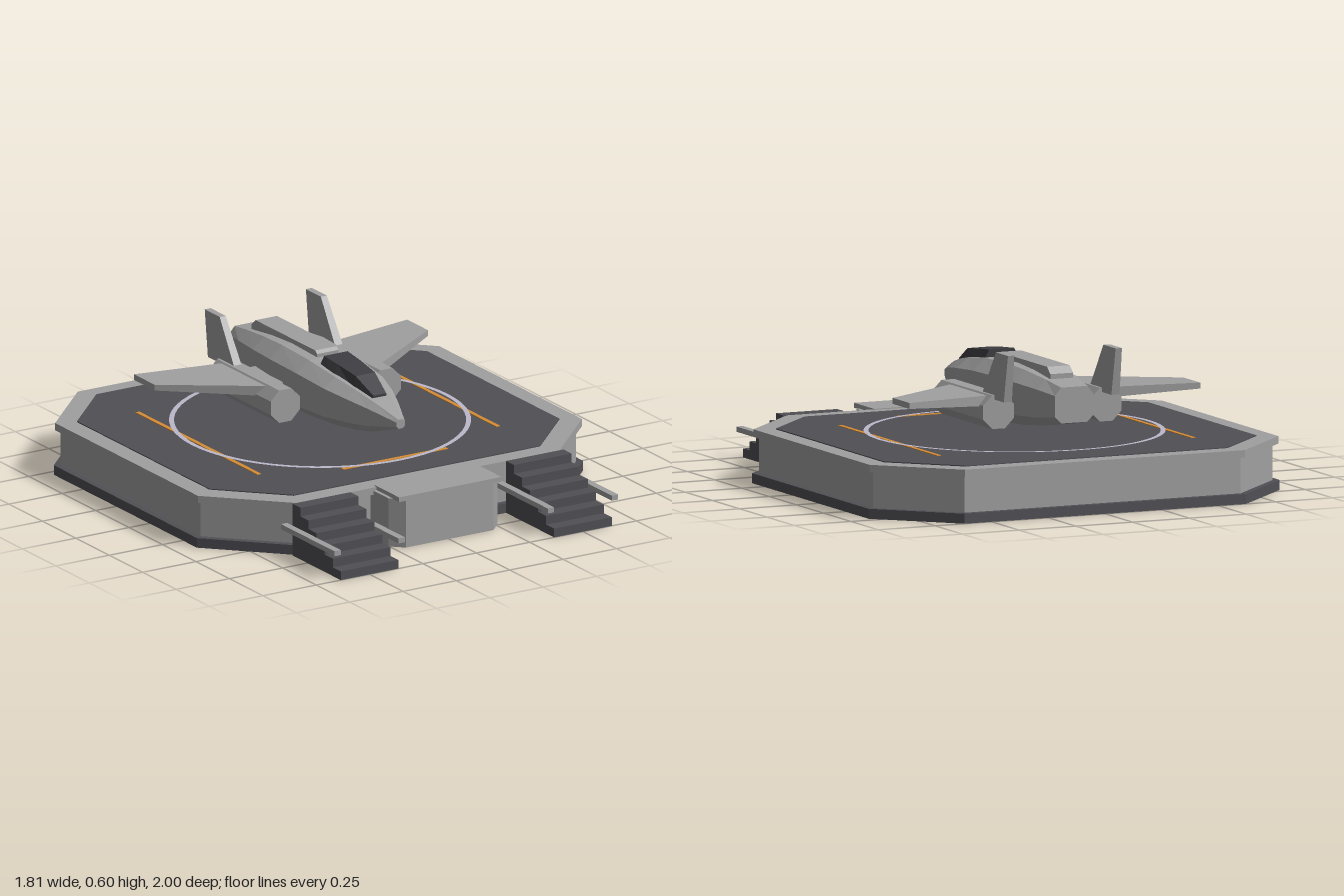
import * as THREE from 'three';

const mat = (name, color) => Object.assign(new THREE.MeshStandardMaterial({ color }), { name });

// Eight-sided outline with cut corners, in x and z
const octagon = (hw, z0, z1, c) => [
  [-hw + c, z1], [hw - c, z1], [hw, z1 - c], [hw, z0 + c],
  [hw - c, z0], [-hw + c, z0], [-hw, z0 + c], [-hw, z1 - c],
];

// Raise an x/z outline from y0 to y1
function slab(points, y0, y1) {
  const shape = new THREE.Shape(points.map(([x, z]) => new THREE.Vector2(x, -z)));
  const g = new THREE.ExtrudeGeometry(shape, { depth: y1 - y0, bevelEnabled: false });
  return g.rotateX(-Math.PI / 2).translate(0, y0, 0);
}

function box(x0, x1, y0, y1, z0, z1) {
  return new THREE.BoxGeometry(x1 - x0, y1 - y0, z1 - z0)
    .translate((x0 + x1) / 2, (y0 + y1) / 2, (z0 + z1) / 2);
}

// Skin cross-sections with flat faces and closed ends; side = -1 mirrors in x
function loft(sections, side = 1) {
  const rings = sections.map((r) => {
    const m = r.map(([x, y, z]) => [x * side, y, z]);
    return side < 0 ? m.reverse() : m;
  });
  const v = [];
  const n = rings[0].length;
  const last = rings[rings.length - 1];
  for (let i = 0; i < rings.length - 1; i++) {
    for (let j = 0; j < n; j++) {
      const k = (j + 1) % n;
      const [a, b, c, d] = [rings[i][j], rings[i][k], rings[i + 1][k], rings[i + 1][j]];
      v.push(...a, ...b, ...c, ...a, ...c, ...d);
    }
  }
  for (let j = 1; j < n - 1; j++) {
    v.push(...rings[0][0], ...rings[0][j + 1], ...rings[0][j]);
    v.push(...last[0], ...last[j], ...last[j + 1]);
  }
  const g = new THREE.BufferGeometry();
  g.setAttribute('position', new THREE.Float32BufferAttribute(v, 3));
  g.computeVertexNormals();
  return g;
}

export function createModel() {
  const model = new THREE.Group();
  model.name = 'shipOnLandingPad';
  const grey = mat('hullGrey', 0xa0a0a0);
  const dark = mat('deckDark', 0x504f55);
  const glass = mat('canopyDark', 0x3e3d42);
  const orange = mat('markingOrange', 0xd68d34);
  const pale = mat('ringPale', 0xbcb8cc);

  const pad = new THREE.Group();
  pad.name = 'landingPad';
  const ship = new THREE.Group();
  ship.name = 'ship';
  model.add(pad, ship);
  const add = (parent, name, geometry, material) => {
    const mesh = new THREE.Mesh(geometry, material);
    mesh.name = name;
    parent.add(mesh);
  };

  // Platform layers
  add(pad, 'base', slab(octagon(0.905, -1, 0.64, 0.285), 0, 0.04), dark);
  add(pad, 'wall', slab(octagon(0.88, -0.975, 0.615, 0.272), 0.04, 0.186), grey);
  add(pad, 'rim', slab(octagon(0.9, -0.997, 0.638, 0.284), 0.186, 0.216), grey);
  add(pad, 'deck', slab(octagon(0.82, -0.92, 0.556, 0.243), 0.2, 0.22), dark);

  // Painted deck markings
  const ring = new THREE.RingGeometry(0.58, 0.6, 64).rotateX(-Math.PI / 2);
  add(pad, 'landingRing', ring.translate(0, 0.225, -0.168), pale);
  add(pad, 'frontLine', box(-0.245, 0.245, 0.219, 0.223, 0.381, 0.399), orange);
  for (const s of [-1, 1]) {
    add(pad, 'sideLine', box(s * 0.56 - 0.009, s * 0.56 + 0.009, 0.219, 0.223, -0.64, 0.27), orange);
  }

  // Front block with chamfered corners and a top plate
  add(pad, 'frontBlock', slab([
    [-0.255, 0.6], [-0.255, 0.75], [-0.205, 0.8], [0.205, 0.8], [0.255, 0.75], [0.255, 0.6],
  ], 0.002, 0.203), grey);
  add(pad, 'frontBlockTop', box(-0.24, 0.24, 0.2, 0.22, 0.62, 0.805), grey);

  // Two staircases with side rails
  for (const s of [-1, 1]) {
    const x = s * 0.5;
    for (let i = 0; i < 6; i++) {
      const z = 1 - i * 0.06;
      add(pad, 'step', box(x - 0.135, x + 0.135, 0, 0.0362 * (i + 1), z - 0.06, z), dark);
    }
    for (const r of [-0.15, 0.15]) {
      add(pad, 'stairRail', box(x + r - 0.015, x + r + 0.015, 0.105, 0.126, 0.6, 1), grey);
    }
  }

  // Fuselage: z, half width, flat half width, bottom, lower edge, upper edge, top
  const stations = [
    [-0.715, 0.085, 0.058, 0.328, 0.355, 0.44, 0.472],
    [-0.6, 0.112, 0.07, 0.306, 0.34, 0.453, 0.49],
    [-0.45, 0.138, 0.085, 0.288, 0.332, 0.463, 0.508],
    [-0.3, 0.153, 0.095, 0.28, 0.33, 0.468, 0.517],
    [-0.1, 0.153, 0.095, 0.281, 0.33, 0.465, 0.511],
    [0.08, 0.138, 0.085, 0.29, 0.333, 0.45, 0.49],
    [0.2, 0.108, 0.065, 0.3, 0.338, 0.435, 0.467],
    [0.3, 0.073, 0.044, 0.316, 0.345, 0.418, 0.442],
    [0.435, 0.02, 0.01, 0.36, 0.37, 0.388, 0.398],
  ];
  add(ship, 'fuselage', loft(stations.map(([z, w, f, b, lo, hi, t]) => [
    [w, lo, z], [w, hi, z], [f, t, z], [-f, t, z],
    [-w, hi, z], [-w, lo, z], [-f, b, z], [f, b, z],
  ])), grey);

  // Canopy: z, bottom half width, top half width, bottom, top
  const canopy = [
    [-0.05, 0.08, 0.055, 0.49, 0.536],
    [0.05, 0.08, 0.052, 0.48, 0.527],
    [0.17, 0.06, 0.045, 0.46, 0.512],
    [0.278, 0.037, 0.03, 0.435, 0.458],
  ];
  add(ship, 'canopy', loft(canopy.map(([z, b, t, y0, y1]) => [
    [b, y0, z], [t, y1, z], [-t, y1, z], [-b, y0, z],
  ])), glass);

  // Raised spine, sloped at its ends
  add(ship, 'spine', loft([[-0.6, 0.48, 0.51], [-0.57, 0.48, 0.536],
    [-0.125, 0.5, 0.536], [-0.11, 0.5, 0.525]].map(([z, y0, y1]) => [
    [0.05, y0, z], [0.05, y1, z], [-0.05, y1, z], [-0.05, y0, z],
  ])), grey);

  // Mirrored engines, wings and fins
  for (const s of [-1, 1]) {
    const engine = new THREE.CylinderGeometry(0.0735, 0.0735, 0.465, 8)
      .rotateY(Math.PI / 8).rotateX(Math.PI / 2).translate(s * 0.237, 0.36, -0.2825).toNonIndexed();
    engine.computeVertexNormals();
    add(ship, 'engine', engine, grey);
    add(ship, 'enginePylon', box(s * 0.155 - 0.03, s * 0.155 + 0.03, 0.35, 0.4, -0.43, -0.2), grey);

    // x, bottom, top, back z, front z
    add(ship, 'wing', loft([
      [0.27, 0.38, 0.422, -0.475, -0.14],
      [0.64, 0.4, 0.424, -0.538, -0.383],
    ].map(([x, y0, y1, zb, zf]) => [
      [x, y0, zb], [x, y1, zb], [x, y1, zf], [x, y0, zf],
    ]), s), grey);

    // y, half thickness, back z, front z
    add(ship, 'tailFin', loft([
      [0.41, 0.018, -0.6, -0.395],
      [0.6, 0.014, -0.63, -0.518],
    ].map(([y, t, zb, zf]) => [
      [0.237 - t, y, zb], [0.237 - t, y, zf], [0.237 + t, y, zf], [0.237 + t, y, zb],
    ]), s), grey);
  }
  return model;
}
